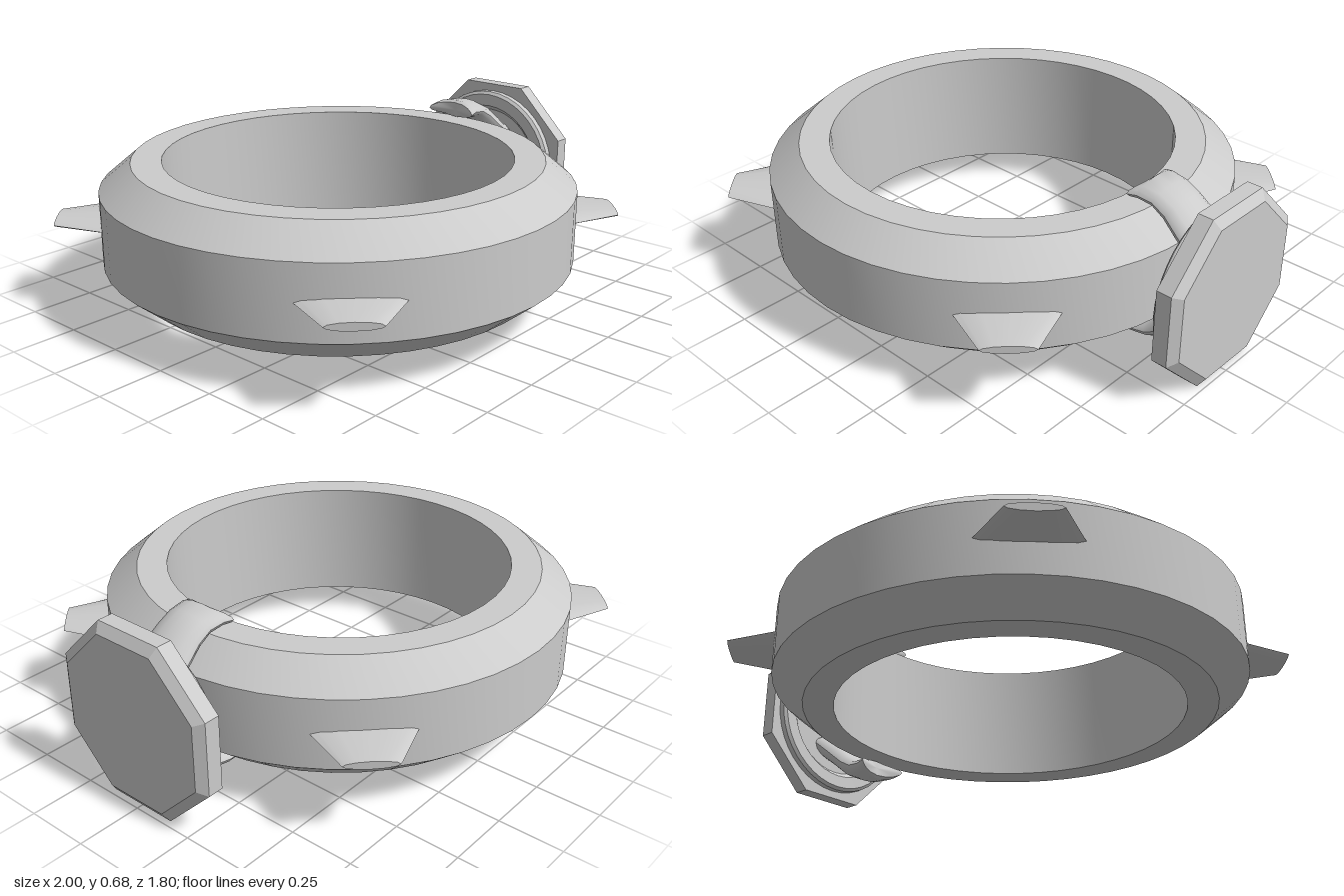
import * as THREE from 'three';
import { toCreasedNormals } from 'three/addons/utils/BufferGeometryUtils.js';

const MID = 0.342; // height of the symmetry plane
const grey = new THREE.MeshStandardMaterial({ color: 0xcccccc });
const greyFlat = new THREE.MeshStandardMaterial({ color: 0xcccccc, flatShading: true });

function addMesh(parent, name, geometry, material = grey) {
  const mesh = new THREE.Mesh(geometry, material);
  mesh.name = name;
  parent.add(mesh);
  return mesh;
}

function lathe(points, segments, phase = 0) {
  return new THREE.LatheGeometry(points.map(([r, y]) => new THREE.Vector2(r, y)), segments, phase);
}

// Elliptical sections along a path in the xy plane: [x, y, halfWidth (z), halfThickness].
// A notch hollows the first end along the path.
function loft(sections, sides, notch = 0) {
  const pos = [], index = [], n = sections.length;
  const add = (x, y, z) => pos.push(x, y, z);
  sections.forEach(([x, y, w, h], i) => {
    const a = sections[Math.max(i - 1, 0)], b = sections[Math.min(i + 1, n - 1)];
    const t = new THREE.Vector2(b[0] - a[0], b[1] - a[1]).normalize();
    for (let j = 0; j < sides; j++) {
      const ang = (j / sides) * Math.PI * 2, c = Math.cos(ang), s = Math.sin(ang);
      const shift = i === 0 ? notch * s * s : 0;
      add(x + t.y * h * s + t.x * shift, y - t.x * h * s + t.y * shift, w * c);
    }
  });
  const start = n * sides, end = start + 1;
  add(sections[0][0] + notch, sections[0][1], 0);
  add(sections[n - 1][0], sections[n - 1][1], 0);
  for (let j = 0; j < sides; j++) {
    const k = (j + 1) % sides, last = (n - 1) * sides;
    for (let i = 0; i < n - 1; i++) {
      const p = i * sides, q = p + sides;
      index.push(p + j, p + k, q + k, p + j, q + k, q + j);
    }
    index.push(start, k, j, end, last + j, last + k);
  }
  const g = new THREE.BufferGeometry();
  g.setAttribute('position', new THREE.Float32BufferAttribute(pos, 3));
  g.setIndex(index);
  return toCreasedNormals(g, 0.75);
}

export function createModel() {
  const model = new THREE.Group();
  model.name = 'studdedRing';

  // Bevelled band
  const band = new THREE.Group();
  band.name = 'band';
  band.position.x = -0.1;
  model.add(band);
  addMesh(band, 'bandBody', toCreasedNormals(lathe([
    [0.665, 0.105], [0.78, 0.105], [0.9, 0.205], [0.9, 0.48],
    [0.78, 0.58], [0.665, 0.58], [0.665, 0.105],
  ], 48), 0.4));

  // Four thin tapered studs on the diagonals
  const studGeometry = loft([[0.83, 0, 0.205, 0.022], [1.07, 0, 0.095, 0.015]], 12);
  for (let i = 0; i < 4; i++) {
    const stud = addMesh(band, 'stud' + (i + 1), studGeometry);
    stud.position.y = MID;
    stud.rotation.y = Math.PI / 4 + (i * Math.PI) / 2;
  }

  // Octagonal plate facing +x, with a round dished rim behind it
  const plate = new THREE.Group();
  plate.name = 'plate';
  plate.position.y = MID;
  plate.rotation.z = -Math.PI / 2;
  model.add(plate);
  const k = 1 / Math.cos(Math.PI / 8);
  addMesh(plate, 'octagon', lathe([
    [0, 0.915], [0.342 * k, 0.915], [0.342 * k, 0.975], [0.305 * k, 1], [0, 1],
  ], 8, Math.PI / 8), greyFlat);
  addMesh(plate, 'backRim', toCreasedNormals(lathe([
    [0, 0.905], [0.23, 0.905], [0.25, 0.883], [0.3, 0.88], [0.312, 0.89], [0.312, 0.92],
  ], 40), 0.7));

  // Curved prongs joining the plate to the band, above and mirrored below
  const prongGeometry = loft([
    [0.6, 0.275, 0.112, 0.028],
    [0.64, 0.281, 0.106, 0.036],
    [0.7, 0.273, 0.1, 0.04],
    [0.755, 0.243, 0.1, 0.046],
    [0.82, 0.19, 0.108, 0.048],
    [0.91, 0.12, 0.115, 0.052],
  ], 16, 0.035);
  for (const side of [1, -1]) {
    const prong = addMesh(model, side > 0 ? 'upperProng' : 'lowerProng', prongGeometry);
    prong.position.y = MID;
    prong.scale.y = side;
  }
  return model;
}
